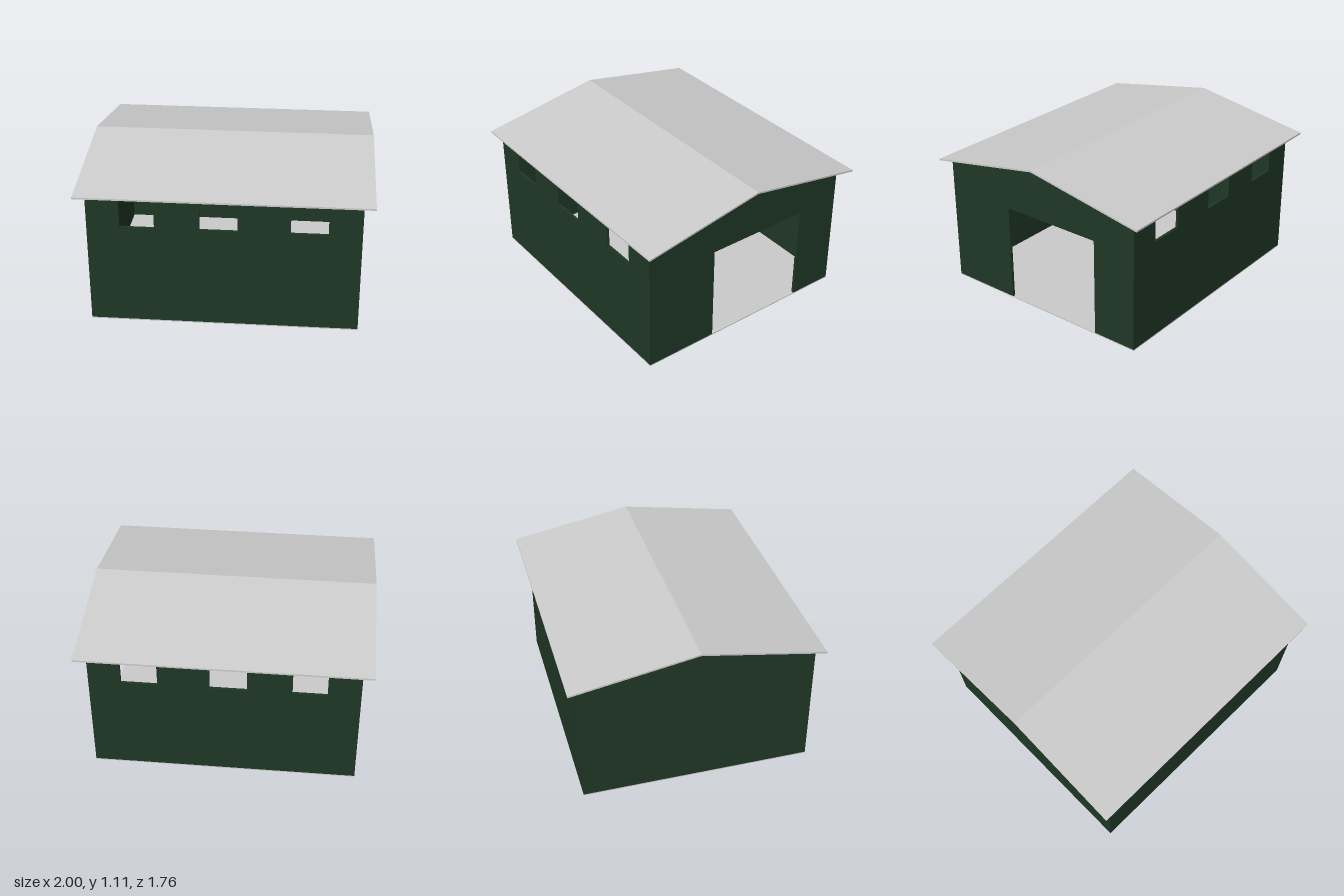
import * as THREE from 'three';

const GREEN = new THREE.MeshStandardMaterial({ color: 0x203826, flatShading: true });
const GREY = new THREE.MeshStandardMaterial({ color: 0xcccccc, flatShading: true });

const HALF_X = 0.925, FRONT = 0.83, BACK = -0.8; // wall faces
const T = 0.018;                                 // wall thickness
const BASE = 0.02, EAVE_Z = 0.88;
const roofTop = (z) => 1.122 - 0.177 * Math.abs(z);
const ROOF_T = 0.012;
const under = (z) => roofTop(z) - ROOF_T;

function extrude(points, depth, material, name) {
  const shape = new THREE.Shape(points.map(([x, y]) => new THREE.Vector2(x, y)));
  const geometry = new THREE.ExtrudeGeometry(shape, { depth, bevelEnabled: false });
  const mesh = new THREE.Mesh(geometry, material);
  mesh.name = name;
  return mesh;
}

// Profile drawn in (z, y), swept along x from xMax downwards
function extrudeAlongX(points, depth, xMax, material, name) {
  const mesh = extrude(points, depth, material, name);
  mesh.geometry.rotateY(-Math.PI / 2);
  mesh.position.x = xMax;
  return mesh;
}

// Long wall with window notches open up to the roof
function longWall(z, name) {
  const windows = [[0.45, 0.7], [-0.16, 0.095], [-0.7, -0.465]];
  const sill = 0.737, w = HALF_X - T, top = under(z);
  const points = [[-w, BASE], [w, BASE], [w, top]];
  for (const [a, b] of windows) points.push([b, top], [b, sill], [a, sill], [a, top]);
  points.push([-w, top]);
  const wall = extrude(points, T, GREEN, name);
  wall.position.z = z > 0 ? z - T : z;
  return wall;
}

export function createModel() {
  const group = new THREE.Group();
  group.name = 'shed';

  // Floor slab
  const floor = new THREE.Mesh(new THREE.BoxGeometry(2 * HALF_X, 0.008, FRONT - BACK), GREY);
  floor.name = 'floor';
  floor.position.set(0, BASE - 0.004, (FRONT + BACK) / 2);
  group.add(floor);

  // Long walls
  group.add(longWall(FRONT, 'frontWall'), longWall(BACK, 'backWall'));

  // Gable walls, the left one with a wide doorway
  const gable = [[FRONT, under(FRONT)], [0, under(0)], [BACK, under(BACK)]];
  const doorTop = 0.727, doorA = -0.47, doorB = 0.295;
  group.add(
    extrudeAlongX([
      [BACK, BASE], [doorA, BASE], [doorA, doorTop], [doorB, doorTop], [doorB, BASE],
      [FRONT, BASE], ...gable,
    ], T, HALF_X, GREEN, 'doorGableWall'),
    extrudeAlongX([[BACK, BASE], [FRONT, BASE], ...gable], T, -HALF_X + T, GREEN, 'plainGableWall'),
  );

  // Pitched sheet roof
  const e = EAVE_Z;
  group.add(extrudeAlongX([
    [-e, under(e)], [0, under(0)], [e, under(e)],
    [e, roofTop(e)], [0, roofTop(0)], [-e, roofTop(e)],
  ], 2, 1, GREY, 'roof'));

  return group;
}
